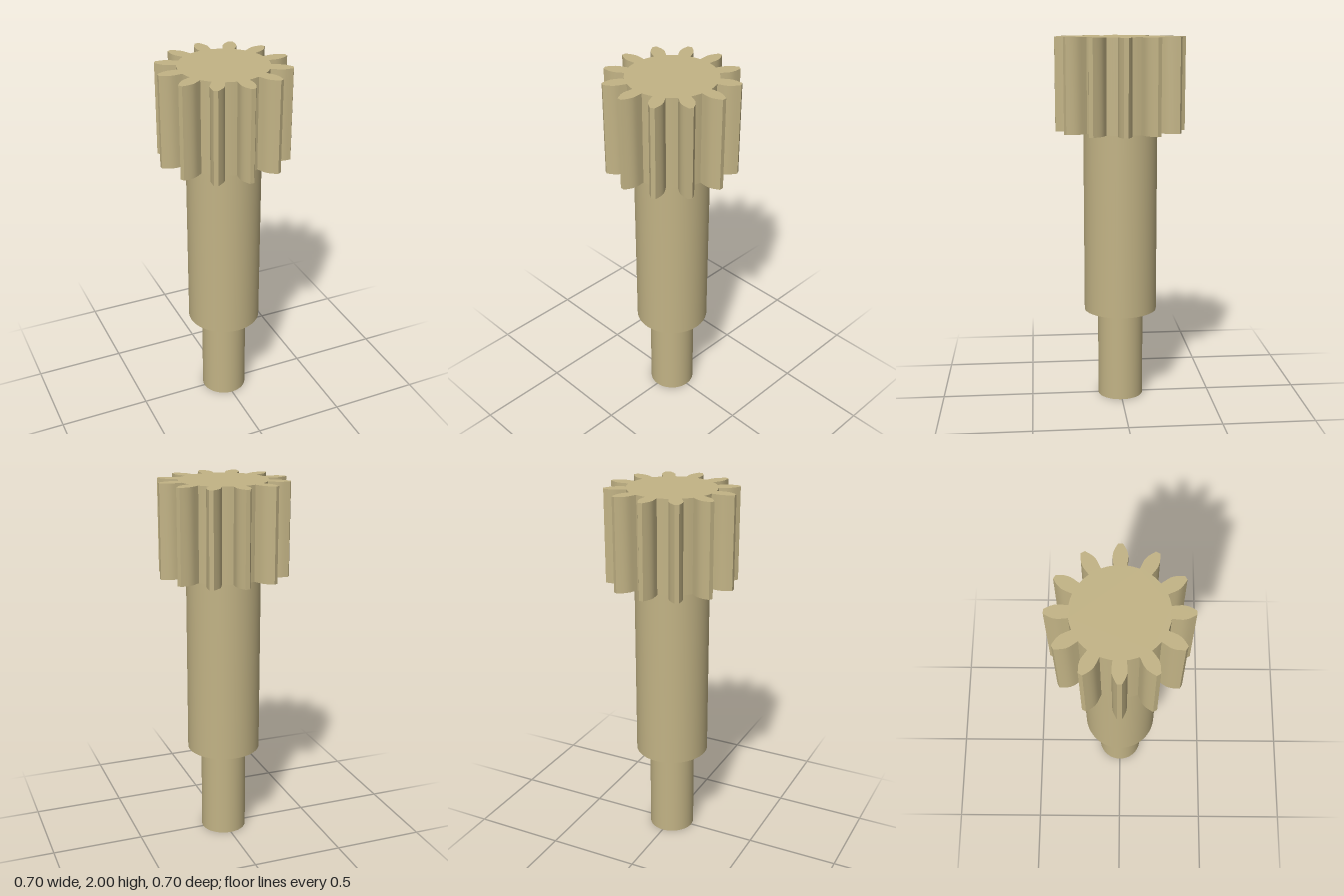
import * as THREE from 'three';
import { toCreasedNormals } from 'three/addons/utils/BufferGeometryUtils.js';

const TEETH = 12;
const ROOT_RADIUS = 0.237;

// One flank of a tooth: [distance along the tooth axis, half width]
const FLANK = [
  [0.235, 0.032], [0.25, 0.0335], [0.268, 0.0355], [0.285, 0.0365],
  [0.3, 0.0345], [0.316, 0.0295], [0.333, 0.021], [0.35, 0.0115],
];

// Closed outline of the pinion, tooth by tooth, with a short root arc between
function gearShape() {
  const points = [];
  const step = (Math.PI * 2) / TEETH;
  const rootHalf = Math.atan2(FLANK[0][1], FLANK[0][0]);
  const tooth = [
    ...FLANK.map(([r, w]) => [r, -w]),
    ...[...FLANK].reverse(),
  ];
  for (let i = 0; i < TEETH; i++) {
    const a = i * step;
    const c = Math.cos(a), s = Math.sin(a);
    for (const [x, y] of tooth) {
      points.push(new THREE.Vector2(x * c - y * s, x * s + y * c));
    }
    for (let k = 1; k < 4; k++) {
      const b = a + rootHalf + (k / 4) * (step - 2 * rootHalf);
      points.push(new THREE.Vector2(Math.cos(b) * ROOT_RADIUS, Math.sin(b) * ROOT_RADIUS));
    }
  }
  return new THREE.Shape(points);
}

export function createModel() {
  const group = new THREE.Group();
  group.name = 'pinionShaft';

  const metal = new THREE.MeshStandardMaterial({ color: 0xc2b385 });
  metal.name = 'sandyBrass';

  const add = (name, geometry, y) => {
    const mesh = new THREE.Mesh(geometry, metal);
    mesh.name = name;
    mesh.position.y = y;
    group.add(mesh);
  };

  // Stepped shaft
  add('lowerJournal', new THREE.CylinderGeometry(0.125, 0.125, 0.5, 64), 0.25);
  add('mainShaft', new THREE.CylinderGeometry(0.2, 0.2, 1, 64), 1);

  // Toothed pinion at the top
  const gear = new THREE.ExtrudeGeometry(gearShape(), { depth: 0.5, bevelEnabled: false });
  gear.rotateX(-Math.PI / 2);
  add('pinionGear', toCreasedNormals(gear, 0.6), 1.5);

  return group;
}
